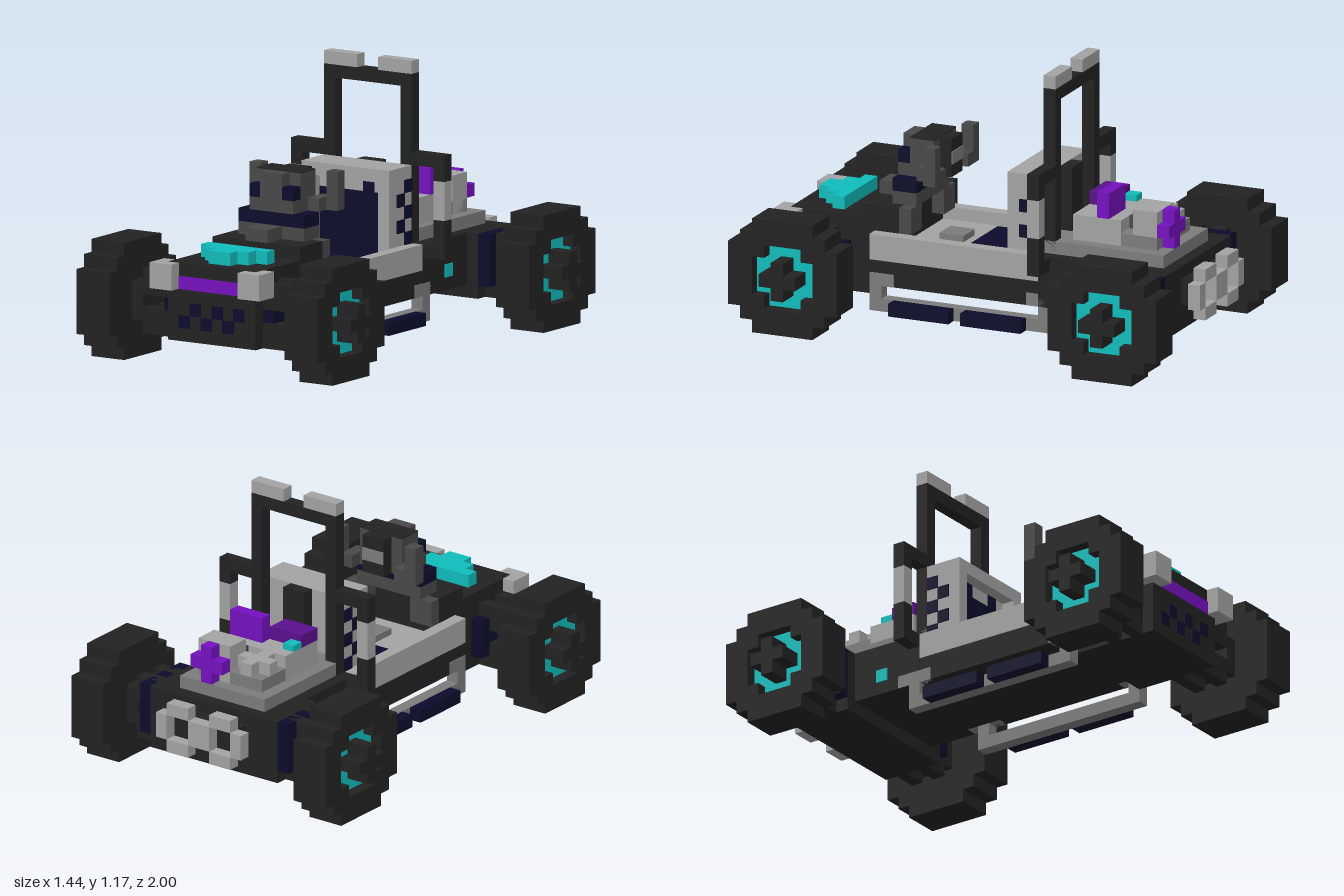
import * as THREE from 'three';

const U = 1 / 18; // one block
const T = 0.08;   // painted plate thickness, in blocks

const material = (name, color) => {
  const m = new THREE.MeshStandardMaterial({ color });
  m.name = name;
  return m;
};

export function createModel() {
  const black = material('black', 0x222222);
  const dark = material('dark grey', 0x484848);
  const mid = material('mid grey', 0x7c7c7c);
  const light = material('light grey', 0xa3a3a3);
  const navy = material('navy', 0x0c0c2c);
  const cyan = material('cyan', 0x10bcbc);
  const purple = material('purple', 0x7510c0);
  const plum = material('dark purple', 0x5a108c);

  const model = new THREE.Group();
  model.name = 'buggy';

  // Box from block-grid limits
  function box(name, mat, x0, x1, y0, y1, z0, z1, parent = model) {
    const g = new THREE.BoxGeometry((x1 - x0) * U, (y1 - y0) * U, (z1 - z0) * U);
    const m = new THREE.Mesh(g, mat);
    m.position.set((x0 + x1) / 2 * U, (y0 + y1) / 2 * U, (z0 + z1) / 2 * U);
    m.name = name;
    parent.add(m);
    return m;
  }
  // Same box on both sides
  function pair(name, mat, x0, x1, ...r) {
    box(name + 'Left', mat, x0, x1, ...r);
    box(name + 'Right', mat, -x1, -x0, ...r);
  }
  // Stepped round outline from one quadrant of corner points
  function stepped(q, Type) {
    const pts = [];
    const rev = [...q].reverse();
    q.forEach(([a, b]) => pts.push([a, b]));
    rev.forEach(([a, b]) => pts.push([-a, b]));
    q.forEach(([a, b]) => pts.push([-a, -b]));
    rev.forEach(([a, b]) => pts.push([a, -b]));
    return new Type(pts.map(([a, b]) => new THREE.Vector2(a * U, b * U)));
  }

  // Wheels: tyre with dished cyan rim and cross hub
  const tyreQ = [[4.5, 2.5], [3.5, 2.5], [3.5, 3.5], [2.5, 3.5], [2.5, 4.5]];
  const rimQ = [[2.5, 1.5], [1.5, 1.5], [1.5, 2.5]];
  function extrudeX(shape, x0, x1) {
    const g = new THREE.ExtrudeGeometry(shape, { depth: (x1 - x0) * U, bevelEnabled: false });
    g.rotateY(Math.PI / 2);
    g.translate(x0 * U, 0, 0);
    return g;
  }
  function wheel(name, side, xIn, z) {
    const g = new THREE.Group();
    g.name = name;
    const ring = stepped(tyreQ, THREE.Shape);
    ring.holes.push(stepped(rimQ, THREE.Path));
    const add = (n, geo, mat) => {
      const m = new THREE.Mesh(geo, mat);
      m.name = n;
      g.add(m);
    };
    add('tyreInner', extrudeX(stepped(tyreQ, THREE.Shape), 0, 2), black);
    add('tyreOuter', extrudeX(ring, 2, 3), black);
    add('rim', extrudeX(stepped(rimQ, THREE.Shape), 2, 2 + T), cyan);
    box('hubBar', black, 2, 4, -0.5, 0.5, -1.5, 1.5, g);
    box('hubPost', black, 2, 4, -1.5, 1.5, -0.5, 0.5, g);
    box('innerHub', black, -1, 0, -1.5, 1.5, -1.5, 1.5, g);
    // Suspension arms
    for (const y of [-2.5, 0.5]) for (const dz of [-1.5, 0.5])
      box('arm', black, -4, -1, y, y + 2, dz, dz + 1, g);
    g.position.set(side * xIn * U, 4.5 * U, z * U);
    if (side < 0) g.rotation.y = Math.PI;
    model.add(g);
  }
  for (const s of [1, -1]) {
    wheel(s > 0 ? 'frontWheelLeft' : 'frontWheelRight', s, 8, 13.5);
    wheel(s > 0 ? 'rearWheelLeft' : 'rearWheelRight', s, 9, -13.5);
  }

  // Chassis and cabin tub
  box('chassis', black, -4.95, 4.95, 3, 5, -6, 9);
  box('floor', light, -4, 4, 5, 6, -5, 9);
  pair('sideRail', light, 4, 5, 5, 7, -5, 9);
  box('seatCushion', navy, -3, 3, 6, 6.3, -2, 2);
  box('pedal', mid, -1, 1, 6, 6.5, 3, 5);

  // Seat back with padded recess and side vents
  box('seatBack', light, -4, 4, 6, 13, -5, -3);
  pair('seatBolster', light, 3, 4, 6, 13, -3, -2);
  box('headRest', light, -3, 3, 12, 13, -3, -2);
  box('seatPad', navy, -3, 3, 6, 11, -3, -3 + T);
  pair('seatPadTop', navy, 1, 2, 11, 12, -3, -3 + T);
  for (let y = 7; y < 12; y++) {
    const z = y % 2 ? -5 : -4;
    pair('seatVent', navy, 4, 4 + T, y, y + 1, z, z + 1);
  }

  // Nose, hood and cowl
  box('nose', black, -4, 4, 2, 6, 9, 16);
  box('hood', black, -4, 4, 6, 8, 7, 16);
  box('cowl', black, -4, 4, 8, 9, 7, 10);
  pair('noseSide', navy, 4, 5, 3, 6, 11, 15);
  box('noseStripe', purple, -3, 3, 6, 7, 16, 16 + T);
  for (let i = 0; i < 6; i++) {
    const y = i % 2 ? 4 : 3;
    box('grille', navy, i - 3, i - 2, y, y + 1, 16, 16 + T);
  }
  pair('headlight', light, 3, 5, 6, 8, 16, 17);
  pair('headlightBack', light, 4, 5, 6, 8, 15, 16);
  for (let i = 0; i < 3; i++)
    box('hoodScoop', cyan, i - 3, 3 - i, 8, 9, 12 + i, 13 + i);

  // Dashboard and steering
  pair('dashSide', dark, 2, 4, 7, 9, 6, 7);
  box('dash', dark, -3, 3, 9, 10, 6, 8);
  box('cowlRidge', dark, -1, 1, 9, 10, 8, 10);
  box('dashPanel', navy, -3, 3, 10, 11, 6, 8);
  box('steeringHead', dark, -2, 2, 11, 14, 5, 7);
  box('steeringFront', dark, -1, 1, 11, 14, 7, 8);
  pair('steeringCheek', dark, 1, 2, 11, 12, 7, 8);
  pair('steeringLamp', navy, 1, 2, 12, 13, 7, 8);
  box('headCap', black, -2, 2, 14, 14 + T, 5, 7);
  box('displayFrame', black, -1, 1, 11, 14, 4, 5);
  box('display', mid, -1, 1, 12, 13, 4 - T, 4);
  pair('gripArm', dark, 2, 3, 11, 12, 4, 6);
  pair('grip', dark, 3, 4, 11, 14, 4, 5);

  // Side steps on looped brackets
  pair('stepRail', mid, 4, 5, 1, 2, -6, 9);
  for (const z of [-6, 8]) pair('stepPost', mid, 4, 5, 2, 4, z, z + 1);
  pair('stepMountFront', mid, 4, 5, 3, 4, 7, 9);
  pair('stepMountRear', mid, 4, 5, 3, 4, -7, -4);
  for (const z of [-4, 2]) pair('stepTread', navy, 5, 6, 1, 2, z, z + 5);

  // Roll bar, lamps and side hoops
  pair('rollPost', black, 3, 4, 7, 20, -6, -5);
  box('rollTop', black, -3, 3, 19, 20, -6, -5);
  pair('rollLamp', light, 0.95, 4, 20, 21, -6, -5);
  pair('hoopTop', black, 4, 7, 13, 14, -6, -5);
  pair('hoopShoulder', black, 6, 7, 12, 13, -6, -5);
  pair('hoopPost', light, 6, 7, 9, 12, -6, -5);
  pair('hoopFoot', black, 6, 7, 6, 9, -6, -5);
  pair('hoopMount', black, 5, 7, 6, 7, -6, -5);
  box('seatBrace', black, -1, 1, 8, 13, -6, -5);

  // Rear body and engine deck
  box('rearBody', black, -5, 5, 3, 7, -11, -5);
  box('rearAxleBody', black, -6, 6, 2, 7, -16, -11);
  pair('rearSide', navy, 6, 7, 3, 7, -16, -11);
  pair('sideMarker', cyan, 5, 5 + T, 4, 5, -9, -8);
  box('engineDeck', mid, -4, 4, 7, 8, -15, -5);

  // Engine
  box('engineBlock', light, -3, 3, 8, 10, -11, -7);
  box('engineRear', mid, -3, 3, 8, 9, -14, -11);
  box('intakeBar', light, -3, 0, 9, 10, -13, -12);
  box('intakePost', light, -2, -1, 9, 10, -14, -11);
  box('airBox', light, 0, 3, 8, 11, -14, -12);
  box('engineGap', dark, 0.5, 1.5, 9, 10, -12, -11);
  box('valveCover', plum, -3, 0, 10, 11, -9, -7);
  box('coil', purple, 0, 3, 10, 12, -10, -9);
  box('fuelCap', cyan, -3, -2, 10, 10.5, -10, -9);
  box('fanBar', purple, 0, 3, 9, 10, -15, -14);
  box('fanPost', purple, 1, 2, 8, 11, -15, -14);
  pair('fanTip', purple, 0, 0.01, 10, 10.01, -14.5, -14.4);

  // Twin exhaust rings
  box('exhaustMount', black, -3, 3, 4, 6, -17, -16);
  for (const x of [-4, 0]) {
    box('exhaustTop', light, x + 1, x + 3, 6, 7, -18, -17);
    box('exhaustBottom', light, x + 1, x + 3, 3, 4, -18, -17);
    box('exhaustSideA', light, x, x + 1, 4, 6, -18, -17);
    box('exhaustSideB', light, x + 3, x + 4, 4, 6, -18, -17);
  }
  return model;
}
